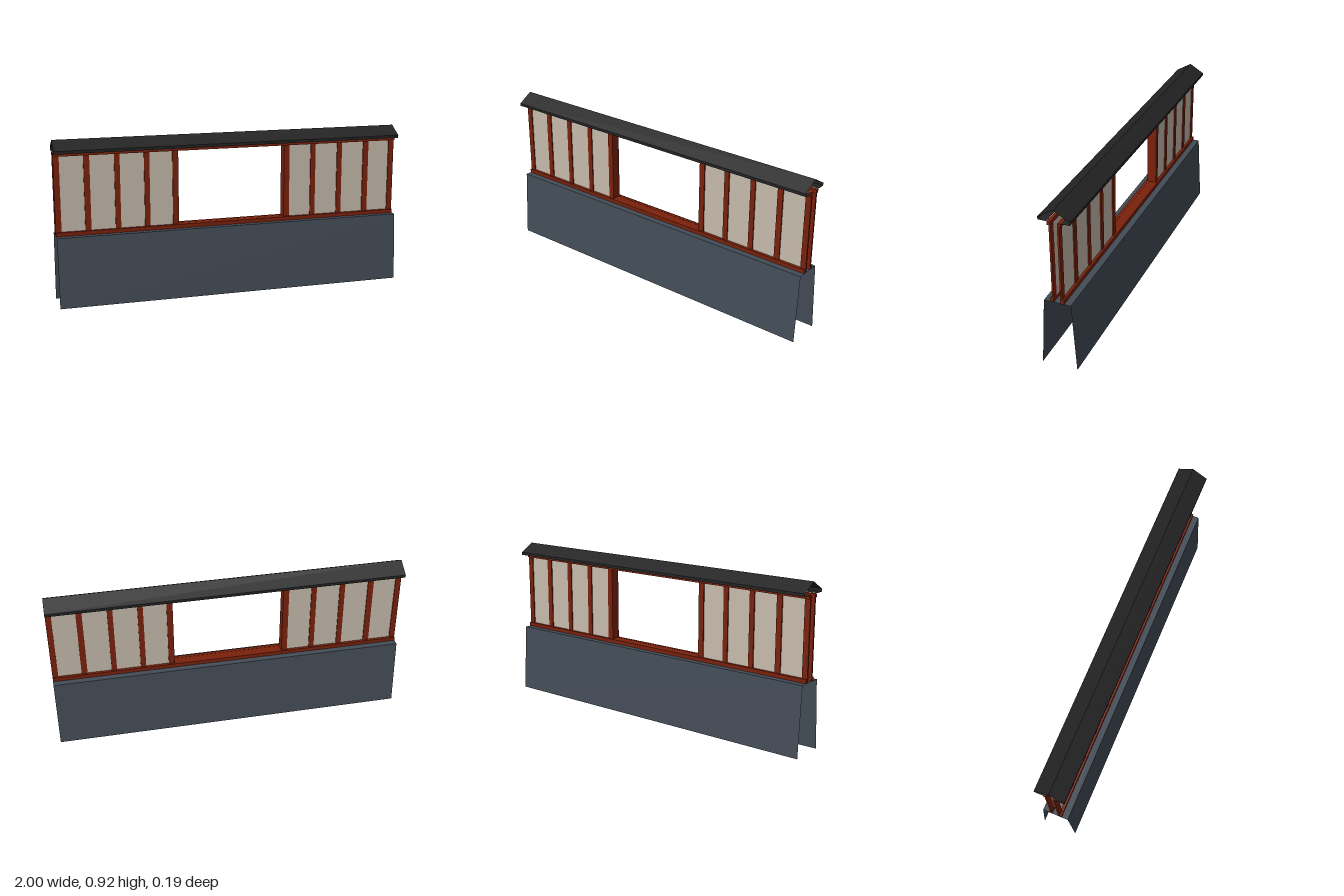
import * as THREE from 'three';

const mat = (name, color, side = THREE.FrontSide) => {
  const m = new THREE.MeshStandardMaterial({ color, side });
  m.name = name;
  return m;
};

export function createModel() {
  const red = mat('red timber', 0x7a210c, THREE.DoubleSide);
  const slate = mat('slate blue plaster', 0x434c56, THREE.DoubleSide);
  const paper = mat('beige panel', 0xc6bbac, THREE.DoubleSide);
  const black = mat('black roof', 0x232323, THREE.DoubleSide);
  const model = new THREE.Group();
  model.name = 'wallSection';

  const add = (name, geometry, material) => {
    const mesh = new THREE.Mesh(geometry, material);
    mesh.name = name;
    model.add(mesh);
    return mesh;
  };
  // Box given by its lower and upper bounds
  const box = (name, material, x0, x1, y0, y1, z0, z1) =>
    add(name, new THREE.BoxGeometry(x1 - x0, y1 - y0, z1 - z0), material)
      .position.set((x0 + x1) / 2, (y0 + y1) / 2, (z0 + z1) / 2);
  // Open sheet swept along x from a [z, y] profile running front to back
  const sheet = (name, material, profile, x0 = -1, x1 = 1) => {
    const pos = [];
    for (let i = 0; i < profile.length - 1; i++) {
      const [za, ya] = profile[i], [zb, yb] = profile[i + 1];
      pos.push(x0, ya, za, x1, ya, za, x1, yb, zb, x0, ya, za, x1, yb, zb, x0, yb, zb);
    }
    const g = new THREE.BufferGeometry();
    g.setAttribute('position', new THREE.Float32BufferAttribute(pos, 3));
    g.computeVertexNormals();
    add(name, g, material);
  };

  // Battered base, open at the ends and below
  sheet('base', slate, [[0.097, 0], [0.073, 0.391], [-0.073, 0.391], [-0.097, 0]]);

  // Gabled roof shell with fascias and soffits
  sheet('roof', black, [[0.038, 0.851], [0.084, 0.851], [0.084, 0.867], [0, 0.917],
    [-0.084, 0.867], [-0.084, 0.851], [-0.038, 0.851]]);

  // Timber frame and panels on both faces
  const posts = [[0.312, 0.345], [0.475, 0.505], [0.64, 0.67], [0.805, 0.838], [0.968, 1]];
  for (const s of [1, -1]) {
    const face = (name, material, x0, x1, y0, y1, za, zb) =>
      box(name, material, x0, x1, y0, y1, Math.min(s * za, s * zb), Math.max(s * za, s * zb));
    face('bottomRail', red, -1, 1, 0.39, 0.413, 0.019, 0.037);
    face('topRail', red, -1, 1, 0.831, 0.85, 0.019, 0.037);
    for (const side of [1, -1]) {
      posts.forEach(([a, b], i) => {
        const span = (p, q) => (side > 0 ? [p, q] : [-q, -p]);
        face('post', red, ...span(a, b), 0.413, 0.831, 0.017, 0.027);
        if (i < posts.length - 1) {
          face('panel', paper, ...span(b, posts[i + 1][0]), 0.413, 0.831, 0.018, 0.021);
        }
      });
    }
  }

  // Lining of the window opening
  box('jambLeft', red, 0.312, 0.345, 0.413, 0.829, -0.017, 0.017);
  box('jambRight', red, -0.345, -0.312, 0.413, 0.829, -0.017, 0.017);
  sheet('sill', red, [[0.019, 0.412], [-0.019, 0.412]], -0.345, 0.345);
  sheet('head', red, [[0.019, 0.832], [-0.019, 0.832]], -0.345, 0.345);

  return model;
}
